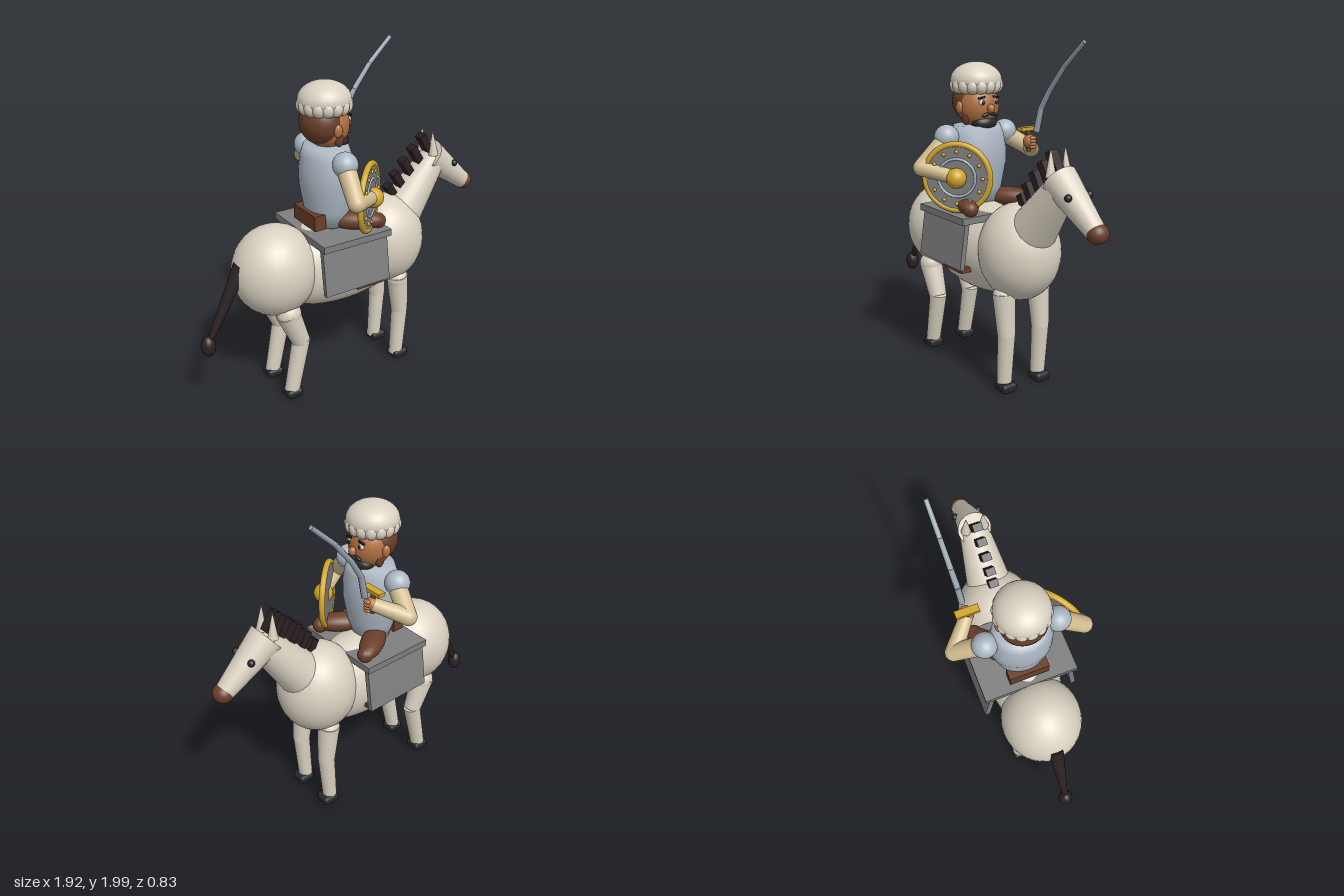
import * as THREE from 'three';
import { RoundedBoxGeometry } from 'three/addons/geometries/RoundedBoxGeometry.js';

const mat = (name, color) => new THREE.MeshStandardMaterial({ name, color });

export function createModel() {
  const root = new THREE.Group();
  root.name = 'mountedRider';
  const cream = mat('cream', 0xd9d1c1), dark = mat('darkHair', 0x2b2022), black = mat('black', 0x26262c);
  const leather = mat('brownLeather', 0x6a3f29), grey = mat('grey', 0x7f7f7f), gold = mat('gold', 0xd2a62a);
  const tunic = mat('paleBlue', 0xadb8c4), steel = mat('steel', 0x98a4ae), skin = mat('skin', 0xb0713f);
  const sleeve = mat('tanSleeve', 0xd2be92);

  const add = (name, geo, m, pos = [0, 0, 0], rot = [0, 0, 0], parent = root) => {
    const mesh = new THREE.Mesh(geo, m);
    mesh.name = name;
    mesh.position.set(...pos);
    mesh.rotation.set(...rot);
    parent.add(mesh);
    return mesh;
  };
  const ball = (name, m, pos, r, parent = root) => {
    const [a, b, c] = Array.isArray(r) ? r : [r, r, r];
    return add(name, new THREE.SphereGeometry(1, 32, 20).scale(a, b, c), m, pos, [0, 0, 0], parent);
  };
  const box = (name, m, size, pos, rot) => add(name, new THREE.BoxGeometry(...size), m, pos, rot);
  // Tapered limb between two points
  const limb = (name, m, from, to, r0, r1, sides = 24) => {
    const a = new THREE.Vector3(...from), d = new THREE.Vector3(...to).sub(a);
    const mesh = add(name, new THREE.CylinderGeometry(r1, r0, d.length(), sides), m);
    mesh.position.copy(a).addScaledVector(d, 0.5);
    mesh.quaternion.setFromUnitVectors(new THREE.Vector3(0, 1, 0), d.normalize());
    return mesh;
  };

  // Horse body
  ball('hindquarters', cream, [-0.48, 0.81, 0], [0.255, 0.272, 0.24]);
  ball('chest', cream, [0.28, 0.82, 0], [0.246, 0.284, 0.236]);
  ball('barrel', cream, [-0.06, 0.78, 0], [0.52, 0.27, 0.23]);
  limb('neck', cream, [0.36, 0.92, 0], [0.64, 1.27, 0], 0.145, 0.085);
  limb('horseHead', cream, [0.605, 1.295, 0], [0.89, 1.07, 0], 0.1, 0.055);
  ball('muzzle', leather, [0.898, 1.068, 0], [0.057, 0.055, 0.06]);
  for (const s of [1, -1]) {
    ball('horseEye', black, [0.755, 1.232, s * 0.073], 0.02);
    limb('ear', cream, [0.6, 1.31, s * 0.055], [0.59, 1.455, s * 0.05], 0.03, 0.003, 12);
  }

  // Mane tufts along the neck
  for (const [x, y] of [[0.33, 1.105], [0.376, 1.175], [0.436, 1.25], [0.503, 1.315], [0.568, 1.38]])
    box('maneTuft', dark, [0.045, 0.125, 0.056], [x, y, 0], [0, 0, 0.55]);

  // Tail
  limb('tail', dark, [-0.69, 0.89, 0], [-0.91, 0.47, 0], 0.047, 0.016);
  ball('tailTuft', dark, [-0.919, 0.445, 0], [0.043, 0.064, 0.043]);

  // Horse legs
  for (const s of [1, -1]) {
    const z = s * 0.125;
    ball('hindHip', cream, [-0.468, 0.575, z], 0.073);
    limb('upperHindLeg', cream, [-0.475, 0.58, z], [-0.395, 0.37, z], 0.073, 0.055);
    limb('lowerHindLeg', cream, [-0.39, 0.385, z], [-0.465, 0.03, z], 0.054, 0.045);
    ball('frontHip', cream, [0.3, 0.58, z], 0.066);
    limb('upperFrontLeg', cream, [0.3, 0.6, z], [0.325, 0.35, z], 0.067, 0.052);
    limb('lowerFrontLeg', cream, [0.325, 0.36, z], [0.305, 0.03, z], 0.051, 0.043);
    for (const x of [-0.46, 0.322])
      add('hoof', new RoundedBoxGeometry(0.104, 0.056, 0.1, 2, 0.02), black, [x, 0.03, z]);
  }

  // Saddle with hanging panels, foot rests and cantle
  box('saddlePlate', grey, [0.45, 0.04, 0.57], [-0.095, 1.0, 0]);
  box('cantle', leather, [0.07, 0.09, 0.24], [-0.245, 1.085, 0]);
  for (const s of [1, -1]) {
    box('saddlePanel', grey, [0.43, 0.3, 0.03], [-0.1, 0.86, s * 0.262], [-s * 0.14, 0, 0]);
    box('stirrupStrap', leather, [0.05, 0.22, 0.015], [0, 0.8, s * 0.234]);
    box('stirrup', leather, [0.18, 0.03, 0.07], [0, 0.698, s * 0.235]);
  }

  // Rider torso, thighs and shoulders
  const profile = [[0, 1.03], [0.125, 1.03], [0.155, 1.13], [0.182, 1.27], [0.182, 1.36], [0.168, 1.44], [0.145, 1.5], [0, 1.51]];
  add('torso', new THREE.LatheGeometry(profile.map(p => new THREE.Vector2(...p)), 32).scale(0.83, 1, 1), tunic, [-0.13, 0, 0]);
  for (const s of [1, -1]) {
    const thigh = ball('thigh', leather, [-0.02, 1.065, s * 0.145], [0.165, 0.057, 0.07]);
    thigh.rotation.y = -s * 0.6;
    ball('knee', leather, [0.09, 1.055, s * 0.205], 0.045);
    ball('shoulder', tunic, [-0.138, 1.44, s * 0.21], 0.072);
  }

  // Arms
  const arm = (side, shoulder, elbow, hand) => {
    limb(side + 'UpperArm', sleeve, shoulder, elbow, 0.055, 0.05);
    ball(side + 'Elbow', sleeve, elbow, 0.05);
    limb(side + 'Forearm', sleeve, elbow, hand, 0.05, 0.038);
    ball(side + 'Hand', skin, hand, 0.04);
  };
  arm('left', [-0.14, 1.41, 0.23], [-0.165, 1.275, 0.365], [0.01, 1.235, 0.26]);
  arm('right', [-0.13, 1.42, -0.22], [-0.075, 1.32, -0.37], [0.075, 1.4, -0.235]);
  for (let i = 0; i < 4; i++) ball('finger', skin, [0.105, 1.37 + i * 0.018, -0.235], [0.016, 0.011, 0.024]);

  // Curved sword
  limb('grip', leather, [0.065, 1.34, -0.235], [0.06, 1.48, -0.235], 0.015, 0.015, 12);
  box('guard', gold, [0.045, 0.022, 0.135], [0.06, 1.475, -0.235]);
  const blade = [[0.128, 1.465], [0.158, 1.6], [0.222, 1.705], [0.335, 1.845], [0.485, 1.985]];
  for (let i = 0; i < 4; i++) {
    const z = k => -0.24 - k * 0.006, r = k => 0.019 - k * 0.0015;
    limb('blade', steel, [...blade[i], z(i)], [...blade[i + 1], z(i + 1)], r(i), r(i + 1), 8);
  }

  // Round shield, facing forward and outward
  const shield = new THREE.Group();
  shield.name = 'shield';
  shield.position.set(0.005, 1.23, 0.235);
  shield.rotation.y = Math.atan2(0.66, 0.75);
  root.add(shield);
  add('shieldDisc', new THREE.CylinderGeometry(0.195, 0.195, 0.026, 40), grey, [0, 0, 0], [Math.PI / 2, 0, 0], shield);
  add('shieldRim', new THREE.TorusGeometry(0.19, 0.018, 12, 48), gold, [0, 0, 0], [0, 0, 0], shield);
  add('shieldRing', new THREE.TorusGeometry(0.108, 0.008, 8, 40), tunic, [0, 0, 0.013], [0, 0, 0], shield);
  ball('shieldBoss', gold, [0, 0, 0.025], 0.058, shield);
  for (let i = 0; i < 12; i++) {
    const a = i * Math.PI / 6;
    ball('stud', gold, [0.15 * Math.cos(a), 0.15 * Math.sin(a), 0.014], 0.011, shield);
  }

  // Rider head
  limb('riderNeck', skin, [-0.125, 1.48, 0], [-0.125, 1.55, 0], 0.07, 0.07);
  ball('face', skin, [-0.118, 1.61, 0], [0.122, 0.135, 0.123]);
  ball('hair', leather, [-0.162, 1.635, 0], [0.12, 0.128, 0.131]);
  ball('beard', black, [-0.06, 1.515, 0], [0.062, 0.048, 0.08]);
  ball('nose', skin, [0.008, 1.602, 0], [0.025, 0.027, 0.023]);
  for (const s of [1, -1]) {
    ball('riderEar', skin, [-0.128, 1.605, s * 0.126], [0.026, 0.037, 0.018]);
    ball('sideburn', leather, [-0.105, 1.555, s * 0.098], [0.03, 0.05, 0.022]);
    ball('eyeWhite', cream, [-0.012, 1.638, s * 0.048], [0.012, 0.017, 0.02]);
    ball('pupil', black, [-0.002, 1.638, s * 0.046], [0.006, 0.012, 0.011]);
    add('eyebrow', new THREE.BoxGeometry(0.012, 0.01, 0.045), black, [-0.012, 1.665, s * 0.05], [s * 0.15, 0, 0]);
    add('moustache', new THREE.SphereGeometry(1, 16, 10).scale(0.012, 0.011, 0.03), black, [-0.004, 1.568, s * 0.026], [s * 0.3, 0, 0]);
  }

  // Turban with a scalloped lower edge
  ball('turban', cream, [-0.137, 1.755, 0], [0.152, 0.106, 0.15]);
  for (let i = 0; i < 16; i++) {
    const a = i * Math.PI / 8;
    ball('turbanFold', cream, [-0.137 + 0.118 * Math.cos(a), 1.728, 0.116 * Math.sin(a)], [0.041, 0.046, 0.041]);
  }
  return root;
}
